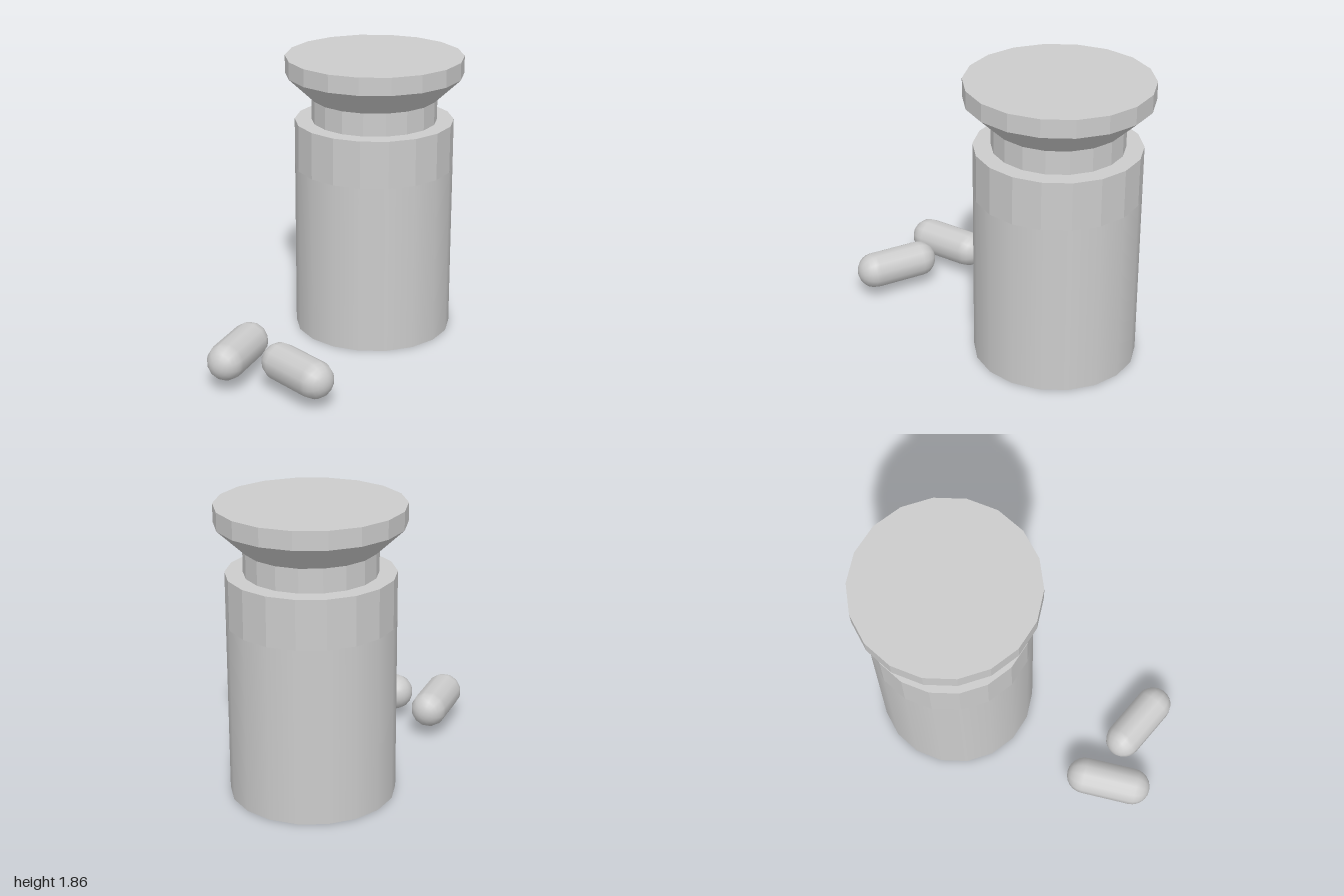
import * as THREE from 'three';

const SIDES = 18;

export function createModel() {
  const model = new THREE.Group();
  const smooth = new THREE.MeshStandardMaterial({ color: 0xcccccc });
  const faceted = new THREE.MeshStandardMaterial({ color: 0xcccccc, flatShading: true });

  const add = (parent, name, geometry, material) => {
    const mesh = new THREE.Mesh(geometry, material);
    mesh.name = name;
    parent.add(mesh);
    return mesh;
  };

  // Bottle: stacked 18-sided sections sharing one axis
  const bottle = new THREE.Group();
  bottle.name = 'bottle';
  bottle.position.set(0.22, 0, -0.43);
  model.add(bottle);

  const section = (name, y0, y1, r0, r1, material, open = false) => {
    const geometry = new THREE.CylinderGeometry(r1, r0, y1 - y0, SIDES, 1, open, Math.PI / 2);
    add(bottle, name, geometry, material).position.y = (y0 + y1) / 2;
  };
  section('bottleBody', 0, 1.12, 0.52, 0.52, smooth);
  section('bottleShoulder', 1.12, 1.43, 0.52, 0.52, faceted);
  section('bottleNeck', 1.43, 1.58, 0.41, 0.41, faceted);
  section('lidFlare', 1.58, 1.74, 0.41, 0.58, faceted, true);
  section('lidRim', 1.74, 1.855, 0.58, 0.58, faceted);

  // Capsules lying flat, each given by the centres of its round ends
  const radius = 0.12;
  const pill = (name, from, to) => {
    const a = new THREE.Vector3(from[0], 0.187, from[1]);
    const b = new THREE.Vector3(to[0], 0.187, to[1]);
    const axis = b.clone().sub(a);
    const geometry = new THREE.CapsuleGeometry(radius, axis.length(), 6, 12);
    geometry.rotateY(Math.PI / 12); // a flat side faces up
    geometry.rotateX(Math.PI / 2);
    const mesh = add(model, name, geometry, smooth);
    mesh.position.copy(a).lerp(b, 0.5);
    mesh.rotation.y = Math.atan2(axis.x, axis.z);
  };
  pill('rightPill', [-0.565, 0.34], [-0.685, 0.64]);
  pill('frontPill', [-0.35, 0.64], [-0.135, 0.88]);

  return model;
}
